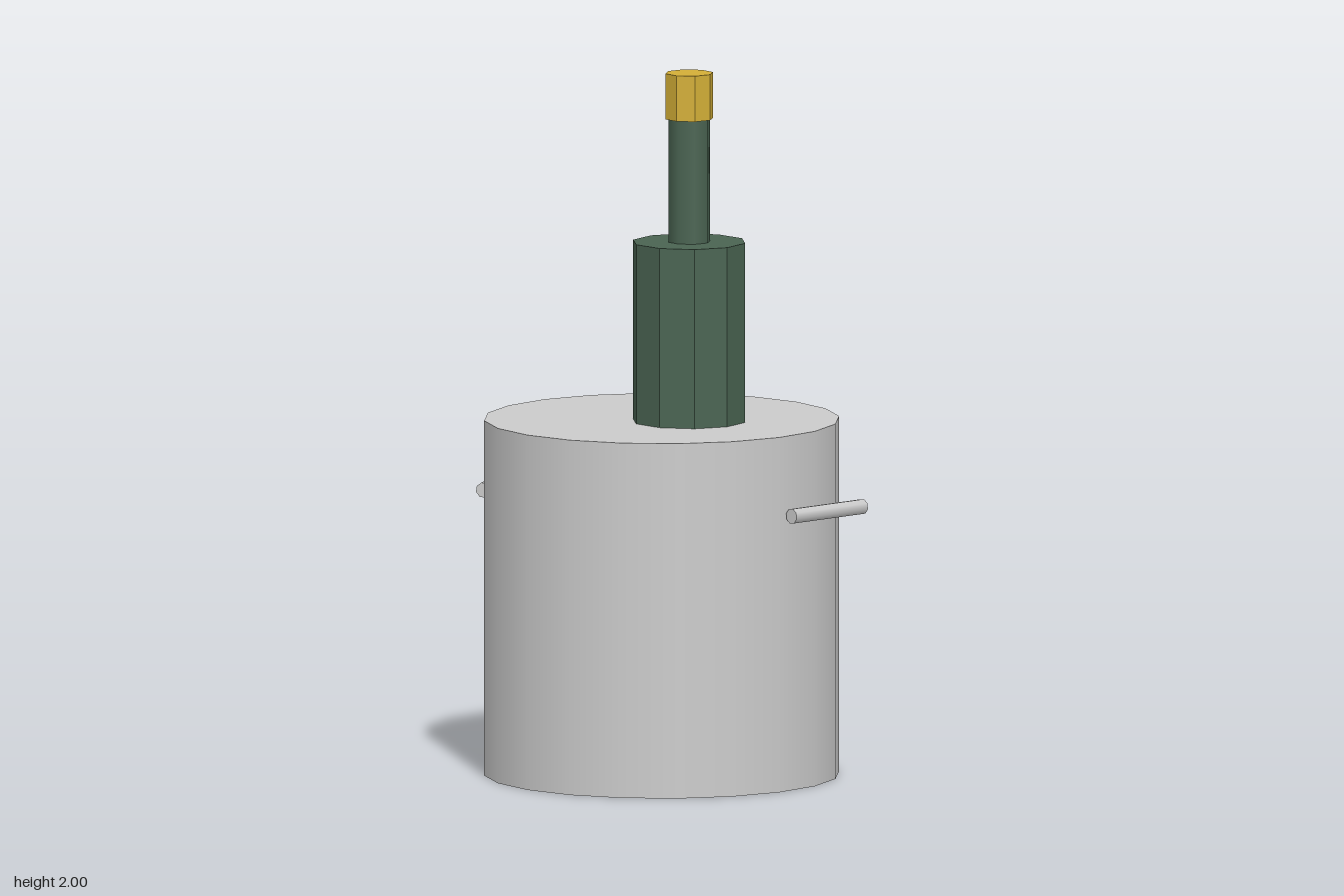
import * as THREE from 'three';

const grey = new THREE.MeshStandardMaterial({ color: 0xcccccc });
const greenFlat = new THREE.MeshStandardMaterial({ color: 0x4a6452, flatShading: true });
const green = new THREE.MeshStandardMaterial({ color: 0x4a6452 });
const gold = new THREE.MeshStandardMaterial({ color: 0xd4af37, flatShading: true });

// Upright cylinder standing between two heights
function column(name, radius, bottom, top, sides, material, x = 0) {
  const geometry = new THREE.CylinderGeometry(radius, radius, top - bottom, sides);
  const mesh = new THREE.Mesh(geometry, material);
  mesh.name = name;
  mesh.position.set(x, (bottom + top) / 2, 0);
  return mesh;
}

// Straight bar handle, its front end touching the bucket wall
function handle(name, side) {
  const front = new THREE.Vector3(side * 0.505, 0.785, 0.134);
  const back = new THREE.Vector3(side * 0.578, 0.785, -0.136);
  const direction = back.clone().sub(front);
  const mesh = new THREE.Mesh(new THREE.CylinderGeometry(0.022, 0.022, direction.length(), 8), grey);
  mesh.name = name;
  mesh.position.copy(front).add(back).multiplyScalar(0.5);
  mesh.quaternion.setFromUnitVectors(new THREE.Vector3(0, 1, 0), direction.normalize());
  return mesh;
}

export function createModel() {
  const model = new THREE.Group();
  model.name = 'bottleBucket';

  // Bucket with a handle on each side
  model.add(column('bucket', 0.502, 0, 1.01, 20, grey));
  model.add(handle('leftHandle', 1), handle('rightHandle', -1));

  // Bottle standing off-centre
  const bottle = new THREE.Group();
  bottle.name = 'bottle';
  bottle.position.x = 0.09;
  bottle.add(
    column('bottleBody', 0.162, 1.01, 1.52, 10, greenFlat),
    column('bottleNeck', 0.06, 1.52, 1.87, 8, green),
    column('bottleCap', 0.069, 1.87, 2, 8, gold)
  );
  model.add(bottle);

  return model;
}
